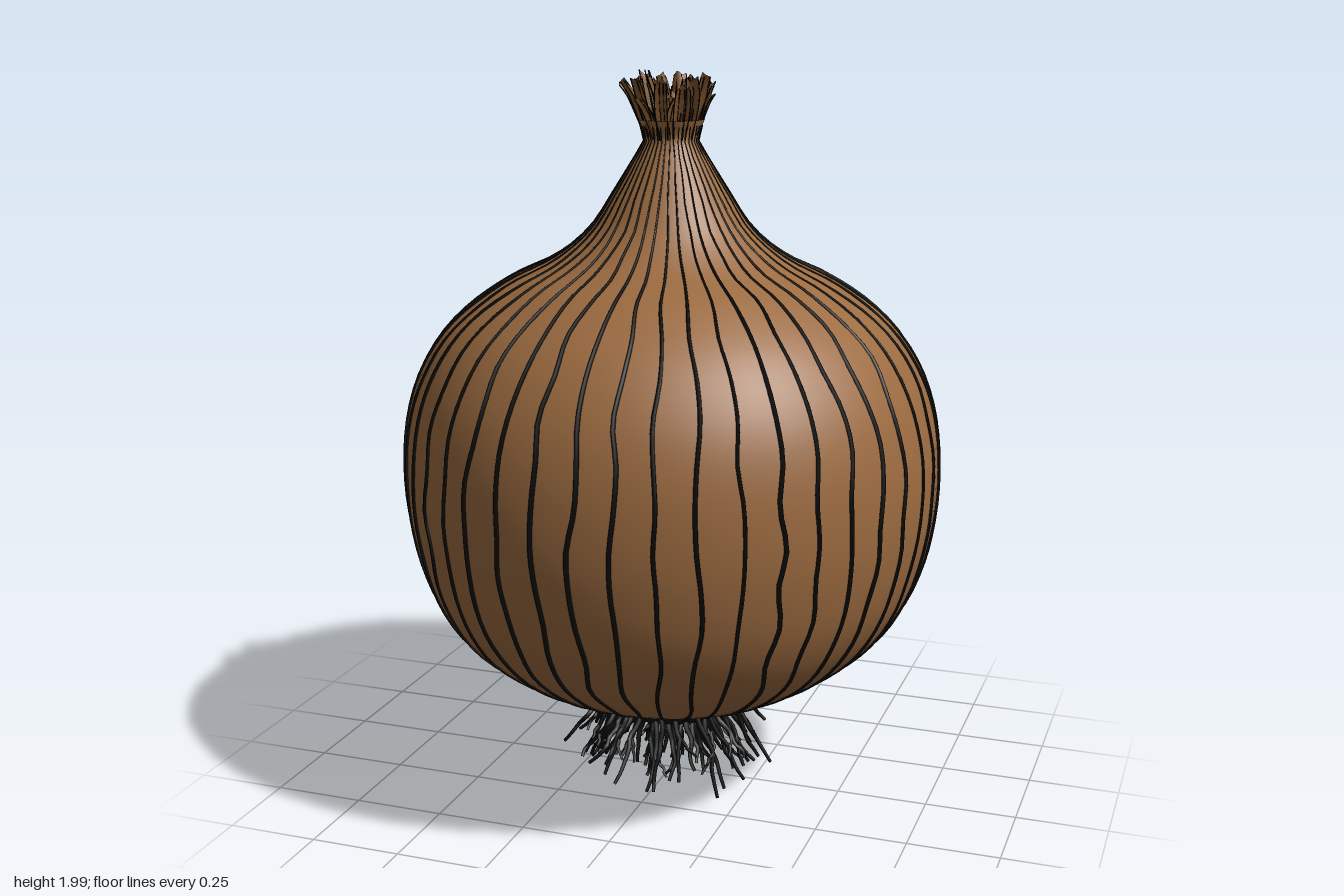
import * as THREE from 'three';
import { mergeGeometries } from 'three/addons/utils/BufferGeometryUtils.js';

const V = (x, y, z) => new THREE.Vector3(x, y, z);
const VEINS = 44;

// Small seeded random generator
function seeded(seed) {
  return () => {
    seed = (seed * 1664525 + 1013904223) % 4294967296;
    return seed / 4294967296;
  };
}

// Bulb outline as [radius, height], from root plate to neck
const outline = new THREE.CatmullRomCurve3([
  [0.17, 0.25], [0.28, 0.28], [0.42, 0.335], [0.59, 0.46], [0.68, 0.6], [0.725, 0.76],
  [0.738, 0.9], [0.725, 1.06], [0.68, 1.2], [0.59, 1.33], [0.45, 1.435], [0.31, 1.505],
  [0.22, 1.58], [0.16, 1.67], [0.105, 1.76], [0.072, 1.82], [0.09, 1.87],
].map(([r, y]) => V(r, y, 0)));

// Gentle unevenness of the skin
function unevenness(angle, y) {
  return 1 + 0.007 * Math.sin(3 * angle + 2 * y) + 0.005 * Math.sin(5 * angle - 4 * y);
}

function skinPoint(t, angle, lift = 0) {
  const p = outline.getPoint(t);
  const r = p.x * unevenness(angle, p.y) + lift;
  return V(r * Math.sin(angle), p.y, r * Math.cos(angle));
}

// Tube whose radius follows a function of t along the curve
function taperedTube(points, radiusAt, steps, sides = 5) {
  const curve = new THREE.CatmullRomCurve3(points);
  const geo = new THREE.TubeGeometry(curve, steps, 1, sides);
  const pos = geo.attributes.position;
  const v = V(0, 0, 0);
  for (let i = 0; i < pos.count; i++) {
    const t = Math.floor(i / (sides + 1)) / steps;
    const c = curve.getPointAt(t);
    v.fromBufferAttribute(pos, i).sub(c).multiplyScalar(radiusAt(t, c)).add(c);
    pos.setXYZ(i, v.x, v.y, v.z);
  }
  return geo;
}

// Smooth bulb skin
function bulbGeometry() {
  const profile = outline.getPoints(64).map(p => new THREE.Vector2(p.x, p.y));
  const geo = new THREE.LatheGeometry(profile, VEINS * 2);
  const pos = geo.attributes.position;
  for (let i = 0; i < pos.count; i++) {
    const x = pos.getX(i), y = pos.getY(i), z = pos.getZ(i);
    const k = unevenness(Math.atan2(x, z), y);
    pos.setXYZ(i, x * k, y, z * k);
  }
  return geo;
}

// Dark wavering lines running from the roots to the neck
function veinGeometry() {
  const rand = seeded(7), parts = [];
  for (let i = 0; i < VEINS; i++) {
    const base = i / VEINS * Math.PI * 2, points = [];
    for (let j = 0; j <= 22; j++) {
      const t = 0.02 + 0.96 * j / 22;
      points.push(skinPoint(t, base + (rand() - 0.5) * 0.032, 0.001));
    }
    const width = 0.0055 + rand() * 0.0015;
    parts.push(taperedTube(points, (t, c) => width * Math.pow(Math.hypot(c.x, c.z) / 0.74, 0.65), 50));
  }
  return mergeGeometries(parts);
}

// Forked, wriggling roots
function rootGeometry() {
  const rand = seeded(23), parts = [];
  const grow = (start, angle, out, drop, width) => {
    const points = [start];
    let p = start;
    for (let j = 1; j <= 6; j++) {
      const a = angle + (rand() - 0.5) * 1.5;
      p = p.clone().add(V(Math.sin(a) * out / 6, -drop / 6 * (0.7 + rand() * 0.6), Math.cos(a) * out / 6));
      p.y = Math.max(p.y, 0.007);
      points.push(p);
    }
    parts.push(taperedTube(points, t => width * (1 - 0.45 * t), 14));
    return points;
  };
  const count = 84;
  for (let i = 0; i < count; i++) {
    const angle = i * 2.39996, r = 0.19 * Math.sqrt((i + 0.5) / count);
    const y = 0.17 + 0.07 * (r / 0.19) ** 2;
    const start = V(r * Math.sin(angle), y, r * Math.cos(angle));
    const out = 0.03 + r * (0.2 + rand() * 0.5);
    const drop = i === 5 ? 0.22 : (y - 0.02) * (0.45 + rand() * 0.45);
    const main = grow(start, angle, out, drop, 0.0085);
    if (i % 2) grow(main[3], angle + (rand() < 0.5 ? 1 : -1), 0.05, 0.05, 0.006);
  }
  return mergeGeometries(parts);
}

// Dried leaf strip: a curled ribbon flaring out of the neck, with dark fibres
function leafStrip(angle, inner, outer, top, width, bend) {
  const steps = 6, geo = new THREE.PlaneGeometry(1, 1, 4, steps), pos = geo.attributes.position;
  const at = (u, t) => {
    const r = inner + (outer - inner) * Math.pow(t, 1.2) - 0.012 * (1 - 4 * u * u);
    const a = angle + bend * t * t;
    const w = u * width * (0.7 + 0.5 * Math.sin(t * 2.6));
    const y = 1.8 + (top - 1.8) * t - (t > 0.9 ? Math.abs(Math.sin(u * 9 + angle * 5)) * 0.016 : 0);
    return V(r * Math.sin(a) + w * Math.cos(a), y, r * Math.cos(a) - w * Math.sin(a));
  };
  for (let i = 0; i < pos.count; i++) {
    const p = at(pos.getX(i), pos.getY(i) + 0.5);
    pos.setXYZ(i, p.x, p.y, p.z);
  }
  geo.computeVertexNormals();
  const fibres = [-0.5, -0.17, 0.17, 0.5].map(u =>
    taperedTube([0, 0.25, 0.5, 0.75, 1].map(t => at(u, t)), () => 0.0017, 8, 4));
  return { geo, fibres };
}

function leafGeometry() {
  const rand = seeded(41), strips = [];
  for (let i = 0; i < 34; i++) {
    const inside = i >= 22;
    const angle = inside ? i * 2.4 : (i + rand() * 0.6) / 22 * Math.PI * 2;
    strips.push(leafStrip(angle, inside ? 0.025 : 0.064,
      inside ? 0.03 + rand() * 0.06 : 0.095 + rand() * 0.05,
      i === 4 ? 2 : 1.92 + rand() * 0.075, 0.026 + rand() * 0.012, (rand() - 0.5) * 0.5));
  }
  return {
    blades: mergeGeometries(strips.map(s => s.geo)),
    fibres: mergeGeometries(strips.flatMap(s => s.fibres)),
  };
}

export function createModel() {
  const group = new THREE.Group();
  const skin = new THREE.MeshStandardMaterial({ color: 0x9c6b40, side: THREE.DoubleSide });
  const dry = new THREE.MeshStandardMaterial({ color: 0x86592f, side: THREE.DoubleSide });
  const dark = new THREE.MeshStandardMaterial({ color: 0x0b0a09 });
  const add = (name, geo, material) => {
    const mesh = new THREE.Mesh(geo, material);
    mesh.name = name;
    group.add(mesh);
  };

  add('bulbSkin', bulbGeometry(), skin);
  add('skinVeins', veinGeometry(), dark);

  // Shallow bowl closing the underside
  const plate = [[0, 0.165], [0.08, 0.172], [0.14, 0.195], [0.18, 0.225], [0.195, 0.25], [0.19, 0.265], [0, 0.27]];
  add('rootPlate', new THREE.LatheGeometry(plate.map(([r, y]) => new THREE.Vector2(r, y)), 40), dark);
  add('roots', rootGeometry(), dark);

  // Plug inside the neck
  const plug = new THREE.CylinderGeometry(0.07, 0.065, 0.06, 24);
  plug.translate(0, 1.82, 0);
  add('neckCore', plug, dry);

  const leaves = leafGeometry();
  add('dryLeaves', leaves.blades, dry);
  add('leafFibres', leaves.fibres, dark);
  return group;
}
